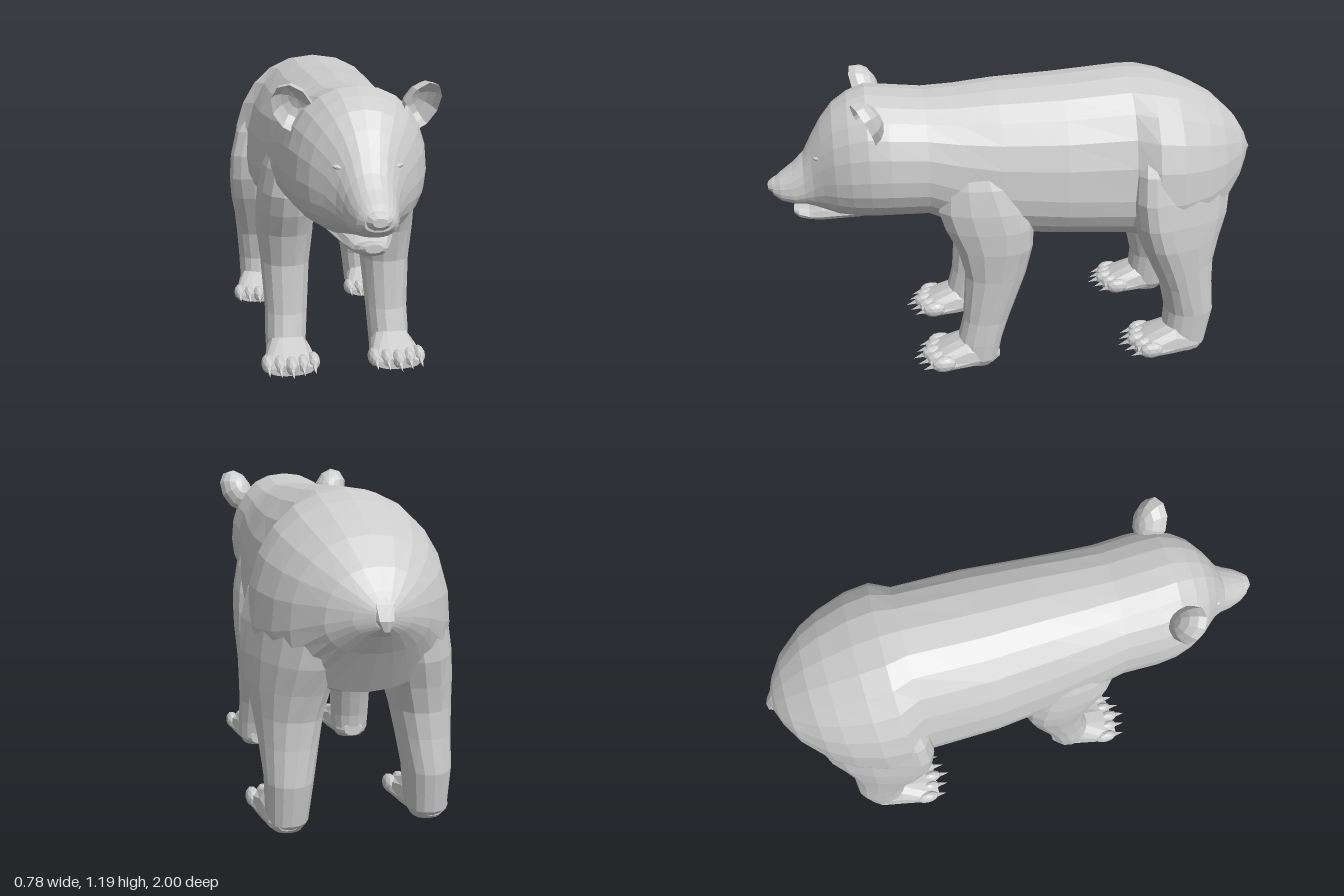
import * as THREE from 'three';

const grey = new THREE.MeshStandardMaterial({ color: 0xcccccc, flatShading: true, side: THREE.DoubleSide });

function part(parent, name, geometry) {
  const mesh = new THREE.Mesh(geometry, grey);
  mesh.name = name;
  parent.add(mesh);
  return mesh;
}

// Skin over oval rings; each section is [position on axis, x centre, x half-width, low, middle, high, skew].
// Axis 'z' runs front to back (low/high are heights); axis 'y' runs upward (low/high are depths).
// Skew slides the high side of a ring along x and the low side the other way.
function loft(sections, axis, segs) {
  const pos = [], index = [];
  const bend = (v) => Math.sign(v) * Math.abs(v) ** 0.9;
  const put = (x, u, t) => (axis === 'z' ? pos.push(x, u, t) : pos.push(x, t, u));
  for (const [t, cx, w, lo, mid, hi, skew = 0] of sections) {
    for (let j = 0; j < segs; j++) {
      const a = (j / segs) * Math.PI * 2;
      const s = bend(Math.sin(a)) * (axis === 'z' ? 1 : -1);
      put(cx + w * bend(Math.cos(a)) + skew * s, mid + s * (s > 0 ? hi - mid : mid - lo), t);
    }
  }
  const last = sections.length - 1;
  for (let i = 0; i < last; i++) {
    for (let j = 0; j < segs; j++) {
      const a = i * segs + j, b = i * segs + (j + 1) % segs;
      index.push(a, b, b + segs, a, b + segs, a + segs);
    }
  }
  // End caps
  const c = pos.length / 3;
  for (const k of [0, last]) put(sections[k][1], sections[k][4], sections[k][0]);
  for (let j = 0; j < segs; j++) {
    const n = (j + 1) % segs;
    index.push(c, n, j, c + 1, last * segs + j, last * segs + n);
  }
  const g = new THREE.BufferGeometry();
  g.setAttribute('position', new THREE.Float32BufferAttribute(pos, 3));
  g.setIndex(index);
  g.computeVertexNormals();
  return g;
}

// Sections on the middle plane: [position, half-width, low, middle, high]
const central = (sections) => sections.map(([t, ...rest]) => [t, 0, ...rest]);

// Mirror a section list to one side
const onSide = (sections, side) =>
  sections.map(([t, x, w, lo, mid, hi, skew = 0]) => [t, x * side, w, lo, mid, hi, skew * side]);

function addPaw(parent, side, name, x, heelZ, toeZ, w) {
  const paw = new THREE.Group();
  paw.name = name;
  parent.add(paw);
  const at = (f) => heelZ + (toeZ - heelZ) * f;
  part(paw, 'foot', loft(onSide([
    [at(0.03), x, w * 0.35, 0.025, 0.05, 0.08],
    [at(0.14), x, w * 0.62, 0.008, 0.05, 0.11],
    [at(0.45), x, w * 0.8, 0.003, 0.05, 0.15],
    [at(0.8), x, w, 0.015, 0.045, 0.095],
    [at(0.95), x, w * 0.75, 0.025, 0.045, 0.07],
  ], side), 'z', 14));
  for (let i = -2; i <= 2; i++) {
    const tx = side * x + i * w * 0.4, tz = at(0.88) - Math.abs(i) * 0.016;
    const toe = part(paw, 'toe', new THREE.IcosahedronGeometry(1, 1));
    toe.scale.set(w * 0.24, 0.035, 0.052);
    toe.position.set(tx, 0.06, tz);
    const claw = part(paw, 'claw', new THREE.ConeGeometry(0.014, 0.06, 5));
    claw.rotation.x = Math.PI / 2 + 0.3;
    claw.position.set(tx, 0.05, tz + 0.06);
  }
}

export function createModel() {
  const bear = new THREE.Group();
  bear.name = 'bear';

  // Trunk in one skin: rump, back, neck, skull and muzzle
  part(bear, 'bodyAndHead', loft(central([
    [-0.975, 0.035, 0.79, 0.83, 0.86],
    [-0.95, 0.1, 0.76, 0.82, 0.91],
    [-0.9, 0.18, 0.69, 0.8, 0.98],
    [-0.8, 0.272, 0.53, 0.76, 1.07],
    [-0.72, 0.318, 0.51, 0.74, 1.115],
    [-0.6, 0.358, 0.505, 0.73, 1.165],
    [-0.5, 0.365, 0.505, 0.73, 1.19],
    [-0.42, 0.315, 0.505, 0.74, 1.195],
    [-0.15, 0.315, 0.53, 0.76, 1.175],
    [0.1, 0.29, 0.55, 0.78, 1.165],
    [0.25, 0.272, 0.59, 0.82, 1.15],
    [0.38, 0.256, 0.65, 0.86, 1.145],
    [0.52, 0.26, 0.655, 0.87, 1.16],
    [0.6, 0.25, 0.655, 0.87, 1.17],
    [0.67, 0.225, 0.66, 0.86, 1.145],
    [0.73, 0.19, 0.665, 0.85, 1.105],
    [0.78, 0.145, 0.68, 0.83, 1.045],
    [0.82, 0.112, 0.695, 0.8, 0.98],
    [0.855, 0.095, 0.707, 0.78, 0.915],
    [0.9, 0.085, 0.712, 0.765, 0.872],
    [0.95, 0.068, 0.725, 0.77, 0.835],
    [0.98, 0.047, 0.75, 0.775, 0.81],
  ]), 'z', 24));
  part(bear, 'nose', loft(central([
    [0.94, 0.042, 0.76, 0.79, 0.83],
    [0.98, 0.043, 0.755, 0.785, 0.815],
    [1, 0.025, 0.77, 0.785, 0.8],
  ]), 'z', 10));
  part(bear, 'lowerJaw', loft(central([
    [0.64, 0.13, 0.66, 0.69, 0.73],
    [0.8, 0.08, 0.638, 0.665, 0.71],
    [0.85, 0.06, 0.638, 0.66, 0.685],
    [0.89, 0.05, 0.645, 0.67, 0.692],
    [0.91, 0.03, 0.66, 0.675, 0.69],
  ]), 'z', 12));

  // Small tail lying against the rump
  part(bear, 'tail', loft(central([
    [0.785, 0.012, -0.995, -0.985, -0.97],
    [0.82, 0.033, -1, -0.975, -0.95],
    [0.87, 0.04, -0.975, -0.95, -0.92],
    [0.92, 0.025, -0.94, -0.92, -0.9],
  ]), 'y', 8));

  for (const side of [1, -1]) {
    const label = side > 0 ? 'left' : 'right';

    // Cupped ear, open to the front
    const ear = part(bear, label + 'Ear',
      new THREE.SphereGeometry(1, 10, 4, 0, Math.PI * 2, 0, Math.PI / 2).rotateX(-Math.PI / 2));
    ear.scale.set(0.073, 0.1, 0.075);
    ear.position.set(side * 0.226, 1.092, 0.615);
    ear.rotation.set(0.45, side * 0.3, side * -0.4);

    // Small sunken eye under a slight brow
    const eye = part(bear, label + 'Eye', new THREE.IcosahedronGeometry(0.014, 1));
    eye.position.set(side * 0.092, 0.905, 0.803);
    const brow = part(bear, label + 'Brow', new THREE.IcosahedronGeometry(1, 1));
    brow.scale.set(0.026, 0.01, 0.016);
    brow.position.set(side * 0.095, 0.925, 0.797);
    brow.rotation.z = side * 0.2;

    // Front leg with shoulder
    part(bear, label + 'FrontLeg', loft(onSide([
      [0.012, 0.215, 0.06, 0.145, 0.2, 0.28],
      [0.045, 0.215, 0.08, 0.122, 0.2, 0.29],
      [0.12, 0.213, 0.084, 0.108, 0.19, 0.29],
      [0.22, 0.208, 0.086, 0.075, 0.17, 0.265],
      [0.42, 0.206, 0.1, 0.005, 0.12, 0.252],
      [0.55, 0.205, 0.115, -0.025, 0.1, 0.285],
      [0.64, 0.203, 0.117, -0.025, 0.1, 0.33],
      [0.72, 0.2, 0.113, -0.01, 0.12, 0.355],
      [0.82, 0.185, 0.108, 0.02, 0.15, 0.34],
      [0.92, 0.155, 0.1, 0.06, 0.17, 0.3],
    ], side), 'y', 14));
    addPaw(bear, side, label + 'FrontPaw', 0.213, 0.11, 0.43, 0.112);

    // Hind leg with thigh, its rear edge turned in to meet the rump
    part(bear, label + 'HindLeg', loft(onSide([
      [0.01, 0.262, 0.055, -0.74, -0.68, -0.6],
      [0.045, 0.262, 0.076, -0.77, -0.68, -0.58],
      [0.2, 0.256, 0.088, -0.795, -0.69, -0.59],
      [0.33, 0.25, 0.104, -0.785, -0.65, -0.56, 0.01],
      [0.43, 0.247, 0.117, -0.785, -0.62, -0.51, 0.02],
      [0.53, 0.243, 0.134, -0.81, -0.58, -0.46, 0.035],
      [0.63, 0.235, 0.144, -0.845, -0.55, -0.425, 0.05],
      [0.74, 0.22, 0.148, -0.86, -0.53, -0.41, 0.06],
      [0.85, 0.195, 0.147, -0.83, -0.53, -0.415, 0.06],
      [0.95, 0.155, 0.13, -0.76, -0.54, -0.43, 0.05],
    ], side), 'y', 16));
    addPaw(bear, side, label + 'HindPaw', 0.268, -0.765, -0.44, 0.11);
  }
  return bear;
}
